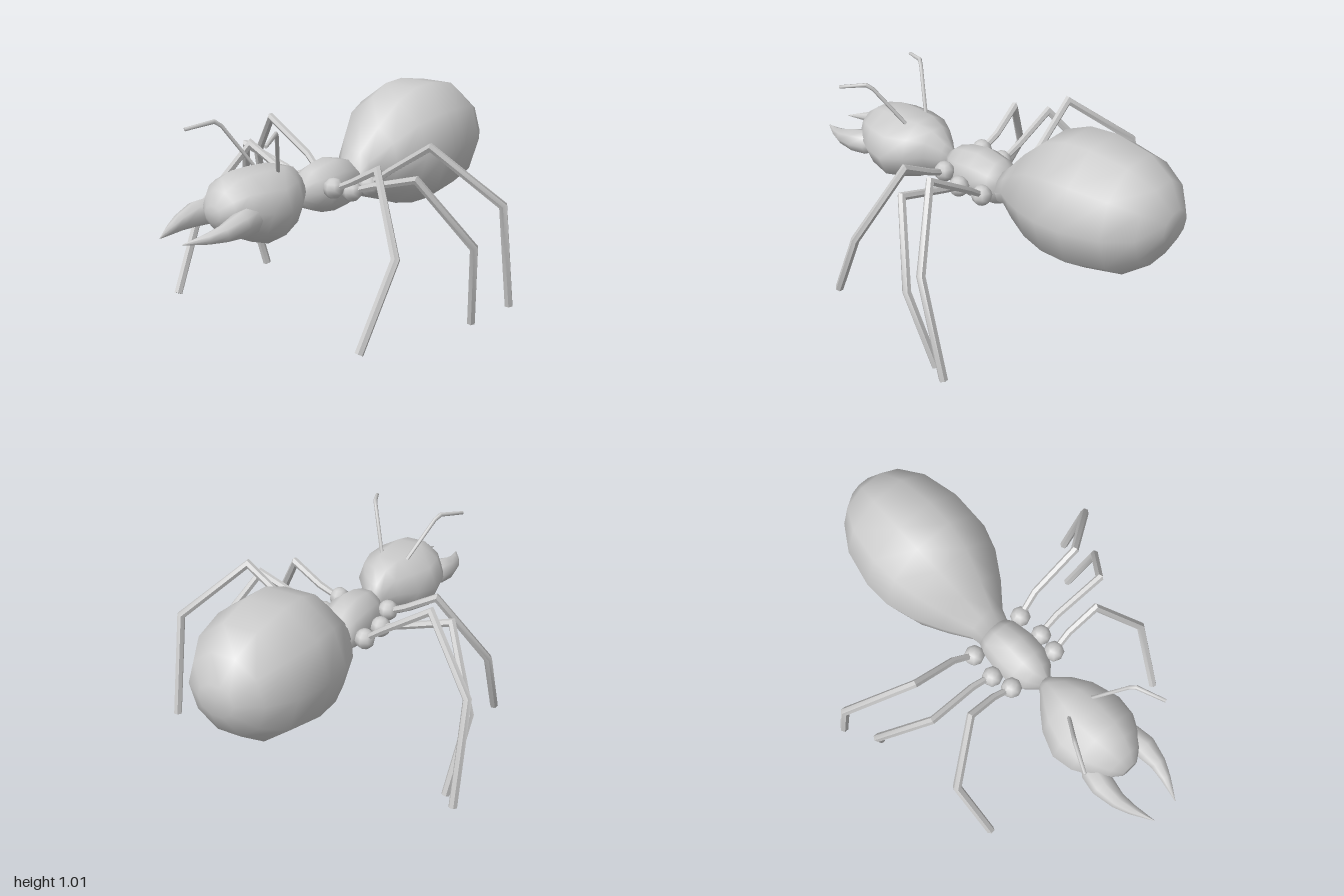
import * as THREE from 'three';
import { toCreasedNormals } from 'three/addons/utils/BufferGeometryUtils.js';

const material = new THREE.MeshStandardMaterial({ color: 0xcccccc });

// Skin a list of rings (arrays of Vector3) and close both ends
function loft(rings, crease) {
  const n = rings[0].length, last = rings.length - 1;
  const centre = (r) => r.reduce((s, p) => s.add(p), new THREE.Vector3()).divideScalar(n);
  const points = [...rings.flat(), centre(rings[0]), centre(rings[last])];
  const index = [];
  for (let i = 0; i < last; i++) {
    for (let j = 0; j < n; j++) {
      const a = i * n + j, b = i * n + (j + 1) % n;
      index.push(a, b, a + n, b, b + n, a + n);
    }
  }
  const c0 = rings.length * n, c1 = c0 + 1;
  for (let j = 0; j < n; j++) {
    const k = (j + 1) % n;
    index.push(c0, k, j, c1, last * n + j, last * n + k);
  }
  const geometry = new THREE.BufferGeometry().setFromPoints(points);
  geometry.setIndex(index);
  return toCreasedNormals(geometry, crease);
}

// Ten-sided body segment from sections [z, top, bottom, half width]
function segment(sections) {
  return loft(sections.map(([z, top, bottom, rx]) => {
    const cy = (top + bottom) / 2, ry = (top - bottom) / 2 / Math.sin(Math.PI * 0.4);
    return Array.from({ length: 10 }, (_, j) => {
      const a = j * Math.PI / 5;
      return new THREE.Vector3(rx * Math.cos(a), cy + ry * Math.sin(a), z);
    });
  }), 1.3);
}

// Tapering limb with mitred joints along a path of [x, y, z, radius]
function limb(path, sides, crease, mirror) {
  const pts = path.map(([x, y, z]) => new THREE.Vector3(x * mirror, y, z));
  const dirs = pts.slice(1).map((p, i) => p.clone().sub(pts[i]).normalize());
  const u = new THREE.Vector3(0, 1, 0).cross(dirs[0]).normalize();
  const v = dirs[0].clone().cross(u);
  let offsets = Array.from({ length: sides }, (_, j) => {
    const a = j / sides * Math.PI * 2;
    return u.clone().multiplyScalar(Math.cos(a)).addScaledVector(v, Math.sin(a));
  });
  const rings = pts.map((p, i) => {
    const before = dirs[Math.max(i - 1, 0)], after = dirs[Math.min(i, dirs.length - 1)];
    const t = before.clone().add(after).normalize();
    const cut = offsets.map((o) => o.clone().addScaledVector(before, -o.dot(t) / before.dot(t)));
    offsets = cut.map((o) => o.clone().addScaledVector(after, -o.dot(after)));
    return cut.map((o) => o.multiplyScalar(path[i][3]).add(p));
  });
  return loft(rings, crease);
}

export function createModel() {
  const model = new THREE.Group();
  model.name = 'ant';
  const add = (name, geometry) => {
    const mesh = new THREE.Mesh(geometry, material);
    mesh.name = name;
    model.add(mesh);
    return mesh;
  };

  // Body segments, back to front
  add('abdomen', segment([
    [-1, 0.82, 0.68, 0.085], [-0.93, 0.92, 0.56, 0.185], [-0.81, 0.985, 0.47, 0.26],
    [-0.63, 1.01, 0.43, 0.3], [-0.5, 1, 0.43, 0.295], [-0.38, 0.95, 0.45, 0.255],
    [-0.26, 0.84, 0.49, 0.18], [-0.16, 0.73, 0.52, 0.1], [-0.11, 0.68, 0.52, 0.085],
  ]));
  add('thorax', segment([
    [-0.12, 0.67, 0.52, 0.08], [-0.07, 0.71, 0.5, 0.105], [0.03, 0.73, 0.49, 0.12],
    [0.12, 0.715, 0.5, 0.115], [0.18, 0.695, 0.52, 0.085], [0.235, 0.65, 0.57, 0.03],
  ]));
  add('head', segment([
    [0.22, 0.655, 0.57, 0.03], [0.25, 0.69, 0.55, 0.05], [0.31, 0.745, 0.52, 0.105],
    [0.39, 0.765, 0.48, 0.165], [0.5, 0.765, 0.445, 0.205], [0.6, 0.765, 0.475, 0.19],
    [0.67, 0.75, 0.505, 0.15], [0.73, 0.71, 0.54, 0.1], [0.77, 0.655, 0.585, 0.045],
  ]));

  // Each leg: hip ball centre, then path from hip to foot
  const legs = {
    front: { hip: [0.13, 0.635, 0.15], path: [[0.13, 0.63, 0.15, 0.015], [0.23, 0.68, 0.14, 0.017],
      [0.375, 0.76, 0.155, 0.018], [0.582, 0.435, 0.285, 0.02], [0.547, 0.06, 0.47, 0.02]] },
    middle: { hip: [0.15, 0.605, 0.045], path: [[0.15, 0.605, 0.04, 0.015], [0.26, 0.645, 0.033, 0.017],
      [0.505, 0.72, 0.05, 0.018], [0.692, 0.41, -0.14, 0.02], [0.635, 0.02, -0.235, 0.02]] },
    rear: { hip: [0.142, 0.605, -0.085], path: [[0.14, 0.605, -0.085, 0.015], [0.25, 0.69, -0.105, 0.017],
      [0.473, 0.835, -0.092, 0.018], [0.742, 0.583, -0.28, 0.02], [0.74, 0.09, -0.38, 0.02]] },
  };

  for (const [side, m] of [['left', 1], ['right', -1]]) {
    for (const [place, { hip, path }] of Object.entries(legs)) {
      add(`${side} ${place} hip`, new THREE.SphereGeometry(0.048, 8, 6))
        .position.set(hip[0] * m, hip[1], hip[2]);
      add(`${side} ${place} leg`, limb(path, 6, 0.9, m));
    }
    // Curved jaws
    add(`${side} mandible`, limb([
      [0.09, 0.6, 0.61, 0.035], [0.115, 0.595, 0.67, 0.06], [0.13, 0.59, 0.74, 0.056],
      [0.125, 0.575, 0.83, 0.038], [0.105, 0.565, 0.9, 0.024], [0.065, 0.555, 1, 0.002],
    ], 8, 1.2, m));
    // Feelers
    add(`${side} antenna`, limb([
      [0.062, 0.74, 0.44, 0.009], [0.16, 0.935, 0.555, 0.009],
      [0.178, 0.955, 0.58, 0.01], [0.235, 0.93, 0.7, 0.008],
    ], 6, 1.2, m));
  }

  // Slight sideways lean of the stance
  model.rotation.z = -0.02;
  model.position.x = -0.012;
  return model;
}
